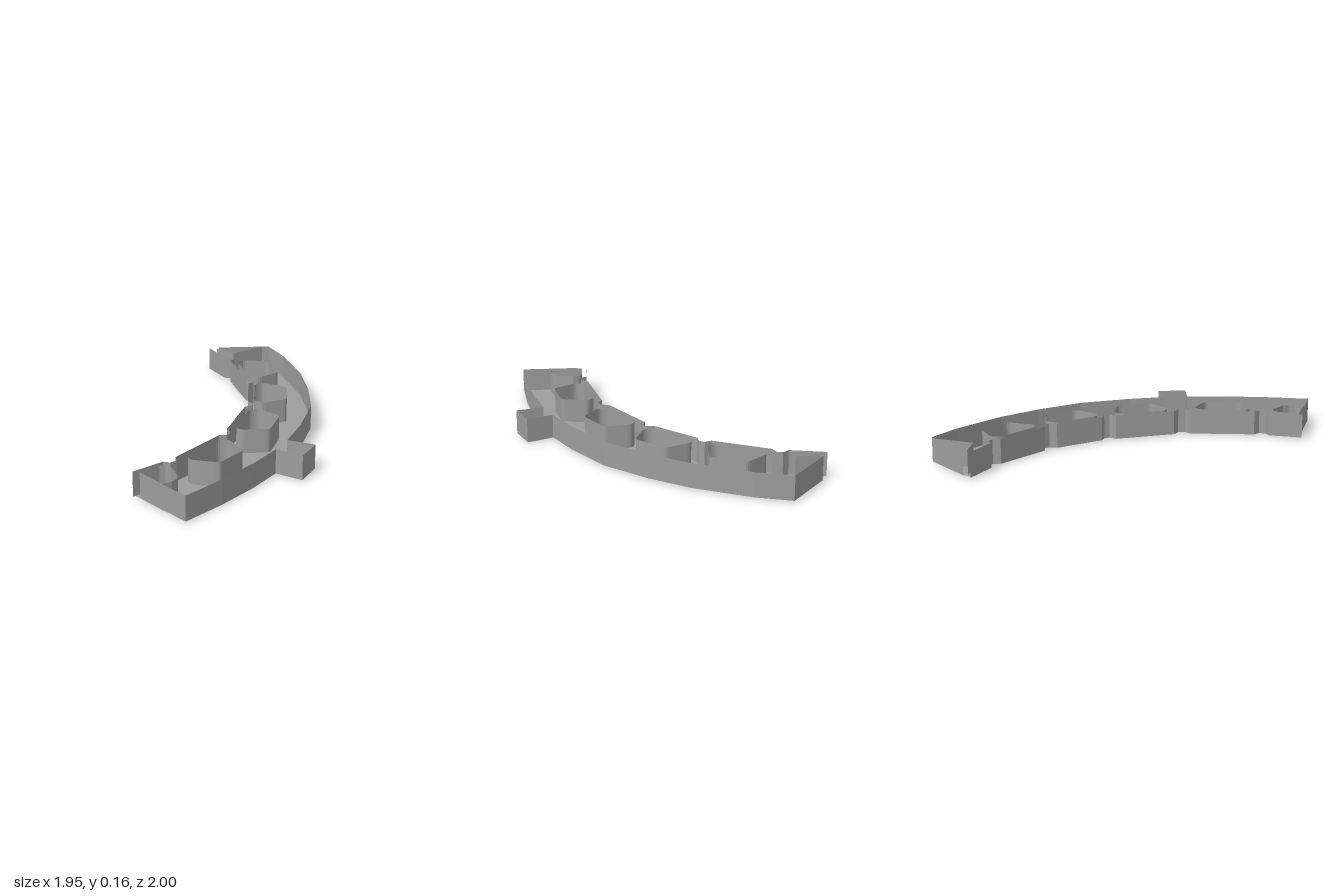
import * as THREE from 'three';

const TOP = 0.16, FLOOR = 0.006;
const material = new THREE.MeshStandardMaterial({ color: 0x9d9d9d, flatShading: true, side: THREE.DoubleSide });
const V = (p) => new THREE.Vector2(p[0], p[1]);

// Thin upright wall along a plan path of (x, z) points
function wall(name, points, y0, y1, closed) {
  const pos = [];
  const count = closed ? points.length : points.length - 1;
  for (let i = 0; i < count; i++) {
    const a = points[i], b = points[(i + 1) % points.length];
    pos.push(a.x, y0, a.y, b.x, y0, b.y, b.x, y1, b.y);
    pos.push(a.x, y0, a.y, b.x, y1, b.y, a.x, y1, a.y);
  }
  const geo = new THREE.BufferGeometry();
  geo.setAttribute('position', new THREE.Float32BufferAttribute(pos, 3));
  geo.computeVertexNormals();
  const mesh = new THREE.Mesh(geo, material);
  mesh.name = name;
  return mesh;
}

// Flat horizontal sheet with optional holes
function sheet(name, points, y, holes = []) {
  const shape = new THREE.Shape(points);
  for (const h of holes) shape.holes.push(new THREE.Path(h));
  const geo = new THREE.ShapeGeometry(shape).rotateX(Math.PI / 2).translate(0, y, 0);
  const mesh = new THREE.Mesh(geo, material);
  mesh.name = name;
  return mesh;
}

// Plan polygon with rounded corners
function rounded(corners, radius) {
  const out = [];
  corners.forEach((c, i) => {
    const n = corners.length;
    const toward = (o) => c.clone().add(o.clone().sub(c).setLength(radius));
    const start = toward(corners[(i + n - 1) % n]), end = toward(corners[(i + 1) % n]);
    out.push(...new THREE.QuadraticBezierCurve(start, c, end).getPoints(3));
  });
  return out;
}

// Pocket set behind a straight stretch of the inner wall, tapering outward
function pocketOutline(a, b) {
  const mid = a.clone().add(b).multiplyScalar(0.5);
  const along = b.clone().sub(a).normalize();
  const out = new THREE.Vector2(-along.y, along.x);
  const plan = [[-0.15, 0.04], [0.15, 0.04], [0.185, 0.09], [0.115, 0.25], [-0.115, 0.25], [-0.185, 0.09]];
  const corners = plan.map(([s, d]) => mid.clone().addScaledVector(along, s).addScaledVector(out, d));
  return rounded(corners, 0.025);
}

export function createModel() {
  const group = new THREE.Group();

  // Curved tray: notched inner edge, then outer edge with its tab
  const inner = [
    [-0.965, 0.56], [-0.765, 0.54], [-0.735, 0.575], [-0.69, 0.57], [-0.67, 0.525],
    [-0.275, 0.395], [-0.23, 0.415], [-0.19, 0.395], [-0.18, 0.34],
    [0.13, 0.095], [0.18, 0.105], [0.205, 0.08], [0.2, 0.03],
    [0.395, -0.235], [0.445, -0.245], [0.465, -0.28], [0.44, -0.32],
    [0.565, -0.68], [0.61, -0.7], [0.615, -0.74], [0.58, -0.775], [0.6, -0.985],
  ].map(V);
  const outer = [
    [0.665, -0.972], [0.973, -0.79], [0.93, -0.56], [0.805, -0.2], [0.665, 0.06],
    [0.48, 0.325], [0.215, 0.55], [0.015, 0.685], [0.11, 0.835], [-0.055, 0.925],
    [-0.125, 0.76], [-0.35, 0.85], [-0.63, 0.935], [-0.91, 0.997], [-0.957, 0.62],
  ].map(V);

  // Four full pockets between notches and a part pocket cut by the left end
  const pockets = [4, 8, 12, 16].map((i) => pocketOutline(inner[i], inner[i + 1]));
  const endPocket = [
    [-0.95, 0.59], [-0.81, 0.575], [-0.78, 0.59], [-0.765, 0.63],
    [-0.8, 0.75], [-0.83, 0.785], [-0.87, 0.8], [-0.93, 0.8],
  ].map(V);
  pockets.push(endPocket);

  group.add(sheet('trayFloor', [...inner, ...outer], FLOOR, pockets));

  // The inner wall runs slightly past both ends, leaving narrow corner gaps
  const innerRun = [V([-0.98, 0.562]), ...inner, V([0.602, -1])];
  group.add(wall('innerWall', innerRun, FLOOR, TOP, false));
  group.add(wall('outerWall', outer, FLOOR, TOP, false));

  pockets.forEach((p) => {
    group.add(wall('pocketWall', p, 0, TOP, true));
    group.add(sheet('pocketFloor', p, 0));
  });

  // Folded partition behind the slanted end
  const partition = [[0.64, -0.96], [0.68, -0.81], [0.93, -0.81]].map(V);
  group.add(wall('endPartition', partition, FLOOR, TOP, false));

  return group;
}
